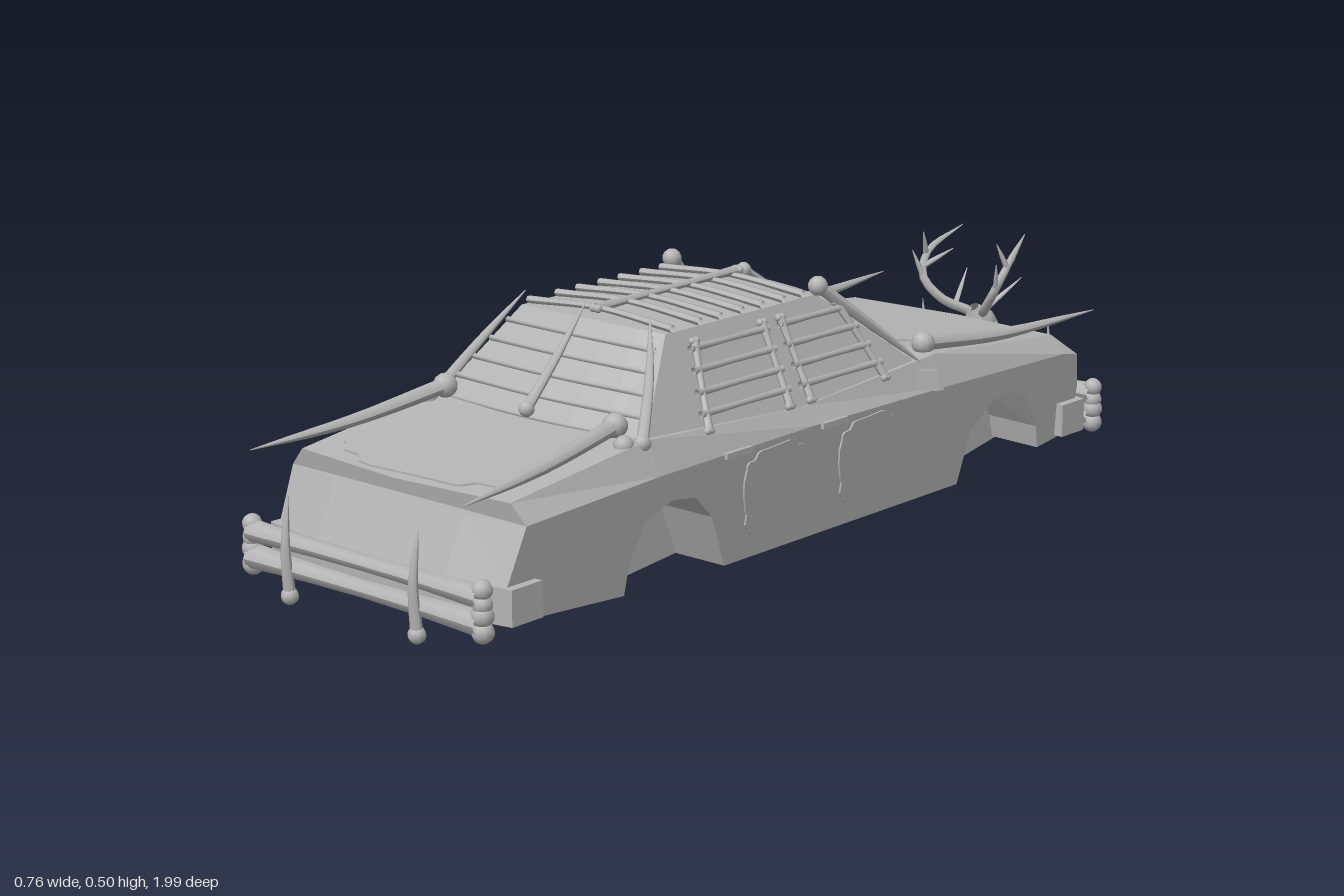
import * as THREE from 'three';

const grey = new THREE.MeshStandardMaterial({ color: 0xb4b4b4, side: THREE.DoubleSide });
grey.name = 'bare grey';
const { lerp, clamp } = THREE.MathUtils;
const V = (p) => new THREE.Vector3(...p);
const flip = (p, s) => [p[0] * s, p[1], p[2]];

export function createModel() {
  const root = new THREE.Group();
  root.name = 'boneArmouredCar';

  function add(geometry, name, parent = root) {
    const mesh = new THREE.Mesh(geometry, grey);
    mesh.name = name;
    parent.add(mesh);
    return mesh;
  }
  function group(name) {
    const g = new THREE.Group();
    g.name = name;
    root.add(g);
    return g;
  }
  // Move every vertex by a rule, then give faces flat normals
  function reshape(geometry, rule) {
    const g = geometry.index ? geometry.toNonIndexed() : geometry;
    const p = g.attributes.position;
    for (let i = 0; i < p.count; i++) p.setXYZ(i, ...rule(p.getX(i), p.getY(i), p.getZ(i)));
    g.computeVertexNormals();
    return g;
  }
  // Round rod along points whose radius follows a list of values
  function rod(points, radii, name, parent, sides = 8, seg = 10) {
    const curve = new THREE.CatmullRomCurve3(points.map(V));
    const g = new THREE.TubeGeometry(curve, seg, 1, sides);
    const p = g.attributes.position, v = new THREE.Vector3();
    for (let i = 0; i <= seg; i++) {
      const c = curve.getPointAt(i / seg);
      const f = (i / seg) * (radii.length - 1), k = Math.min(Math.floor(f), radii.length - 2);
      const r = lerp(radii[k], radii[k + 1], f - k);
      for (let j = 0; j <= sides; j++) {
        const n = i * (sides + 1) + j;
        v.fromBufferAttribute(p, n).sub(c).multiplyScalar(r).add(c);
        p.setXYZ(n, v.x, v.y, v.z);
      }
    }
    g.computeVertexNormals();
    return add(g, name, parent);
  }
  function knob(p, r, name, parent) {
    add(new THREE.SphereGeometry(r, 10, 7), name, parent).position.set(...p);
  }
  // Long bone with a pair of knuckles at each end
  function bone(a, b, r, split, name, parent) {
    rod([a, b], [r * 1.3, r, r * 0.9, r, r * 1.3], name, parent);
    for (const e of [a, b]) for (const s of [-1, 1])
      knob(e.map((c, i) => c + split[i] * s * r * 0.75), r * 1.1, name + 'Knuckle', parent);
  }
  // Bone spike: knuckle at the base, pointed tip
  function spike(a, mid, b, r, name, parent) {
    rod([a, mid, b], [r, r * 0.9, r * 0.75, r * 0.5, 0.001], name, parent);
    knob(a, r * 1.45, name + 'Knuckle', parent);
  }

  // Body: rounded plan at both ends, sides leaning out towards the belt
  const bend = (x, z) => z - Math.sign(z) * Math.max(0, Math.abs(z) - 0.6) * 0.1 * (x / 0.3) ** 2;
  const sideX = (y) => 0.295 + 0.015 * clamp((y - 0.02) / 0.22, 0, 1.1);
  const belt = [[-0.875, 0.225], [-0.82, 0.235], [-0.38, 0.245], [0.05, 0.25], [0.5, 0.245], [0.885, 0.23]];
  const rear = [[0.935, 0.12], [0.93, 0.053]];
  const nose = [[-0.87, 0.055], [-0.885, 0.15]];
  const centreFloor = [[0.45, 0.007], [0.3, 0.02], [-0.44, 0.02], [-0.6, 0.012]];
  const rearArch = [[0.585, 0.03], [0.575, 0.09], [0.535, 0.165], [0.46, 0.19], [0.395, 0.18], [0.345, 0.13], [0.3, 0.02]];
  const frontArch = [[-0.44, 0.02], [-0.475, 0.13], [-0.545, 0.18], [-0.61, 0.187], [-0.67, 0.17], [-0.725, 0.09], [-0.737, 0.04]];
  const slab = (points, depth) => new THREE.ExtrudeGeometry(
    new THREE.Shape(points.map((p) => new THREE.Vector2(...p))), { depth, bevelEnabled: false });

  add(reshape(slab([...belt, ...rear, ...centreFloor, ...nose], 0.34),
    (z, y, d) => [0.17 - d, y, bend(0.17, z)]), 'centreBody');
  for (const s of [-1, 1])
    add(reshape(slab([...belt, ...rear, ...rearArch, ...frontArch, ...nose], 1),
      (z, y, d) => { const x = lerp(0.17, sideX(y), d); return [s * x, y, bend(x, z)]; }), 'sidePanel');

  // Shoulders, hood and trunk lid lofted over the belt line
  const deck = [[0.25, 0.24], [0.27, 0.27], [0.28, 0.31], [0.285, 0.285], [0.28, 0.31], [0.275, 0.268]];
  const verts = [], index = [];
  belt.forEach(([z, y], i) => {
    const [xt, yt] = deck[i], xb = sideX(y);
    for (const [x, yy] of [[-xb, y], [-xt, yt], [0, yt], [xt, yt], [xb, y]]) verts.push(x, yy, bend(x, z));
    if (i) for (let j = 0; j < 4; j++) {
      const a = (i - 1) * 5 + j, b = i * 5 + j;
      index.push(a, b, a + 1, b, b + 1, a + 1);
    }
  });
  index.push(0, 1, 4, 1, 3, 4, 25, 29, 26, 26, 29, 28);
  const upper = new THREE.BufferGeometry();
  upper.setAttribute('position', new THREE.Float32BufferAttribute(verts, 3));
  upper.setIndex(index);
  add(reshape(upper, (x, y, z) => [x, y, z]), 'upperBody');

  // Cabin: t runs up, u across, v along
  const cabin = (u, t, v) => [
    u * lerp(0.285, 0.19, t),
    lerp(0.28, 0.47, t) + 0.012 * t * (1 - u * u) * (1 - 0.5 * v * v),
    lerp(0.085 + 0.435 * v, 0.125 + 0.225 * v, t) + 0.02 * v * (1 - u * u)];
  add(reshape(new THREE.BoxGeometry(2, 1, 2, 6, 1, 6), (u, t, v) => cabin(u, t + 0.5, v)), 'cabin');

  // Bumpers
  for (const [z, name] of [[0.9, 'rearBumper'], [-0.85, 'frontBumper']])
    add(reshape(new THREE.BoxGeometry(0.64, 0.07, 0.09, 6, 1, 1),
      (x, y, d) => [x, y + 0.09, bend(x, z + d)]), name);

  // Ragged patches on the panels
  function patch(cx, cy, w, h, rule, name) {
    const pts = [];
    for (let i = 0; i < 48; i++) {
      const a = (i / 48) * Math.PI * 2, r = 0.93 + 0.04 * Math.sin(5 * a) + 0.03 * Math.sin(11 * a + 1);
      const pw = (c) => Math.sign(c) * Math.sqrt(Math.abs(c)) * r;
      pts.push([cx + w * pw(Math.cos(a)), cy + h * pw(Math.sin(a))]);
    }
    add(reshape(slab(pts, 0.004), rule), name);
  }
  const hoodY = (z) => lerp(0.27, 0.31, (z + 0.82) / 0.44);
  const trunkY = (z) => lerp(0.268, 0.31, (0.885 - z) / 0.385);
  patch(0, -0.6, 0.24, 0.2, (x, z, d) => [x, hoodY(z) + d, z], 'hoodPatch');
  patch(0, 0.7, 0.24, 0.17, (x, z, d) => [x, trunkY(z) + d, z], 'trunkPatch');
  for (const s of [-1, 1]) for (const z0 of [0.16, -0.13])
    patch(z0, 0.15, 0.1, 0.09, (z, y, d) => [s * (sideX(y) + d), y, z], 'doorPatch');

  // Bone bumper bars with upright spikes
  const bars = group('boneBumpers');
  for (const [z, out] of [[0.965, 1], [-0.915, -1]]) {
    for (const [y, r] of [[0.124, 0.018], [0.074, 0.02]])
      bone([-0.305, y, z], [0.305, y, z], r, [0, 1, 0], 'bumperBone', bars);
    for (const x of out > 0 ? [-0.185, 0.155] : [-0.17, 0.17])
      spike([x, 0.025, z + out * 0.018], [x, 0.12, z + out * 0.025], [x * 1.02, out > 0 ? 0.22 : 0.26, z + out * 0.012],
        0.012, 'bumperSpike', bars);
  }

  // Spikes over hood, trunk and window pillars
  const spikes = group('boneSpikes');
  for (const s of [-1, 1]) {
    const f = (p) => flip(p, s);
    spike(f([0.243, 0.325, -0.385]), f([0.262, 0.302, -0.63]), f([0.29, 0.305, -0.93]), 0.017, 'hoodSpike', spikes);
    spike(f([0.225, 0.335, 0.53]), f([0.25, 0.305, 0.75]), f([0.28, 0.29, 0.985]), 0.017, 'trunkSpike', spikes);
    knob(f([0.26, 0.305, 0.545]), 0.02, 'trunkSpikeKnuckle', spikes);
    spike(f([0.275, 0.305, 0.51]), f([0.225, 0.405, 0.435]), f([0.165, 0.505, 0.365]), 0.012, 'rearPillarSpike', spikes);
    spike(f([0.195, 0.488, -0.1]), f([0.235, 0.4, -0.21]), f([0.285, 0.295, -0.335]), 0.014, 'frontPillarSpike', spikes);
  }
  spike([0, 0.328, 0.535], [0, 0.415, 0.45], [0, 0.505, 0.37], 0.011, 'rearWindowSpike', spikes);
  spike([0, 0.492, -0.1], [0, 0.4, -0.245], [0, 0.31, -0.345], 0.011, 'windshieldSpike', spikes);
  bone([0, 0.496, -0.08], [0, 0.49, 0.34], 0.008, [1, 0, 0], 'roofBone', spikes);

  // Cross bars over windshield, rear window and roof
  const cage = group('boneCage');
  for (const v of [-1, 1]) for (const t of [0.12, 0.3, 0.48, 0.66, 0.84]) {
    const pts = [-0.95, 0, 0.95].map((u) => { const p = cabin(u, t, v); return [p[0], p[1] + 0.006, p[2] + v * 0.006]; });
    rod(pts, [0.006, 0.005, 0.006], 'windowBar', cage, 6);
  }
  for (const z of [-0.06, 0, 0.065, 0.125, 0.19, 0.25, 0.33])
    rod([[-0.19, 0.477, z], [0, 0.489, z], [0.19, 0.477, z]], [0.008, 0.006, 0.008], 'roofBar', cage, 6);

  // Side window grilles
  const wall = (y, z, s) => [s * (0.295 - (y - 0.28) * 0.5), y, z];
  for (const s of [-1, 1]) {
    for (const [za, zb] of [[0.335, 0.29], [0.095, 0.09], [0.03, 0.035], [-0.205, -0.14]])
      bone(wall(0.295, za, s), wall(0.45, zb, s), 0.007, [0, 0, 1], 'grillePost', cage);
    for (const y of [0.325, 0.362, 0.4, 0.438]) {
      const k = (y - 0.295) / 0.155;
      for (const [z0, z1] of [[lerp(0.35, 0.305, k), 0.08], [0.045, lerp(-0.22, -0.155, k)]])
        rod([wall(y, z0, s), wall(y, z1, s)], [0.008, 0.006, 0.008], 'grilleBar', cage, 6, 4);
    }
    // Door handles and mirror
    for (const z of [0.28, -0.01])
      add(new THREE.BoxGeometry(0.012, 0.012, 0.075), 'doorHandle').position.set(s * 0.312, 0.245, z);
    const mirror = add(new THREE.BoxGeometry(0.07, 0.042, 0.012), 'sideMirror');
    mirror.position.set(s * 0.342, 0.283, -0.28);
    mirror.rotation.set(0, s * -0.25, s * 0.22);
  }

  // Antlered skull on the nose
  const skull = group('skull');
  rod([[0, 0.275, -0.885], [0, 0.2, -0.935], [0, 0.115, -0.99]],
    [0.012, 0.034, 0.037, 0.026, 0.019, 0.017, 0.006], 'cranium', skull, 8, 12);
  for (const s of [-1, 1]) {
    const f = (...pts) => pts.map((p) => flip(p, s));
    knob([s * 0.028, 0.225, -0.925], 0.014, 'browRidge', skull);
    rod(f([0.018, 0.262, -0.895], [0.06, 0.29, -0.85], [0.1, 0.34, -0.83], [0.11, 0.39, -0.86], [0.085, 0.44, -0.955]),
      [0.011, 0.01, 0.009, 0.007, 0.001], 'antler', skull, 6, 14);
    for (const [a, b] of [
      [[0.04, 0.275, -0.87], [0.075, 0.34, -0.96]],
      [[0.1, 0.34, -0.83], [0.115, 0.4, -0.81]],
      [[0.111, 0.385, -0.855], [0.1, 0.44, -0.83]],
      [[0.105, 0.36, -0.835], [0.085, 0.39, -0.92]]])
      rod(f(a, b), [0.007, 0.005, 0.001], 'antlerTine', skull, 6, 4);
  }
  return root;
}
